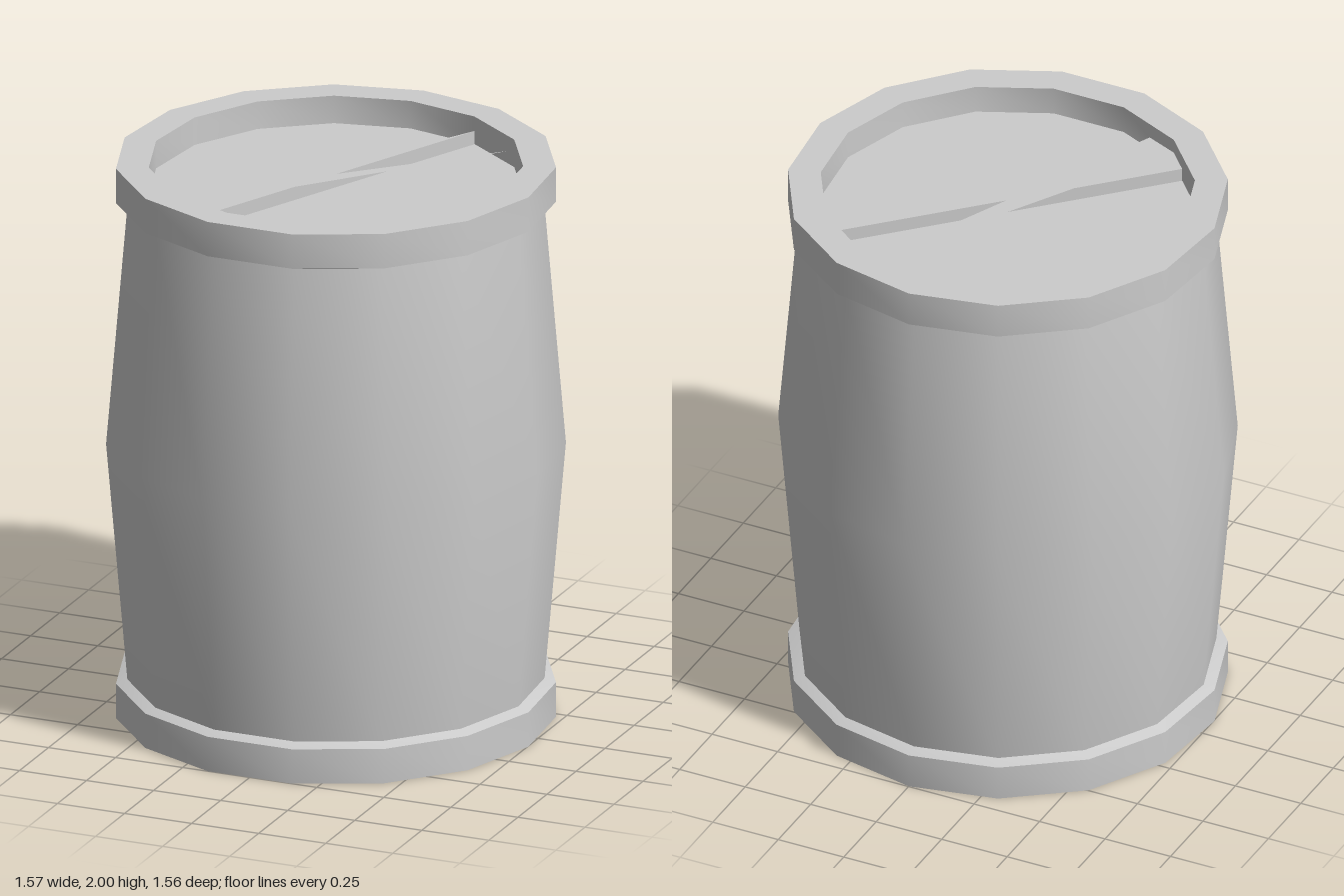
import * as THREE from 'three';
import { toCreasedNormals } from 'three/addons/utils/BufferGeometryUtils.js';

const SIDES = 15, INNER = 0.644, FLOOR = 0.1, PLANK = 0.048, CZ = 0.009;

export function createModel() {
  const model = new THREE.Group();
  const material = new THREE.MeshStandardMaterial({ color: 0xcccccc });

  const add = (name, geometry, y = 0, z = CZ) => {
    const mesh = new THREE.Mesh(geometry, material);
    mesh.name = name;
    mesh.position.set(0, y, z);
    model.add(mesh);
    return mesh;
  };

  // Fifteen-sided turned part, one corner pointing to the back
  const turned = (profile) => toCreasedNormals(
    new THREE.LatheGeometry(profile.map(([r, y]) => new THREE.Vector2(r, y)), SIDES, Math.PI), 0.6);

  // Bulging barrel wall
  add('barrelWall', turned([[0.717, 0.13], [0.791, 1], [0.717, 1.87]]));

  // Rims: recess wall, flat end, outer band, sloped shoulder
  const rim = [[INNER, FLOOR], [INNER, 0], [0.757, 0], [0.757, 0.125], [0.717, 0.14]];
  add('bottomRim', turned(rim));
  add('topRim', turned(rim.map(([r, y]) => [r, 2 - y]).reverse()));

  // Recessed lids
  const lid = (down) => new THREE.CircleGeometry(INNER, SIDES, Math.PI / 2)
    .rotateX(-Math.PI / 2).scale(1, 1, 1).rotateZ(down ? Math.PI : 0);
  add('topLid', lid(false), 2 - FLOOR);
  add('bottomLid', lid(true), FLOOR);

  // Diagonal cross planks fitted to the recess, mirrored at the bottom
  const ends = [[-0.45, 0.45], [-0.379, 0.53], [-0.262, 0.58], [0.265, -0.58], [0.45, -0.443]];
  const plank = (side) => new THREE.ExtrudeGeometry(
    new THREE.Shape(ends.map(([x, z]) => new THREE.Vector2(x * side, -z))),
    { depth: PLANK, bevelEnabled: false }).rotateX(-Math.PI / 2);
  add('topPlank', plank(1), 2 - FLOOR, 0);
  add('bottomPlank', plank(-1), FLOOR - PLANK, 0);

  return model;
}
